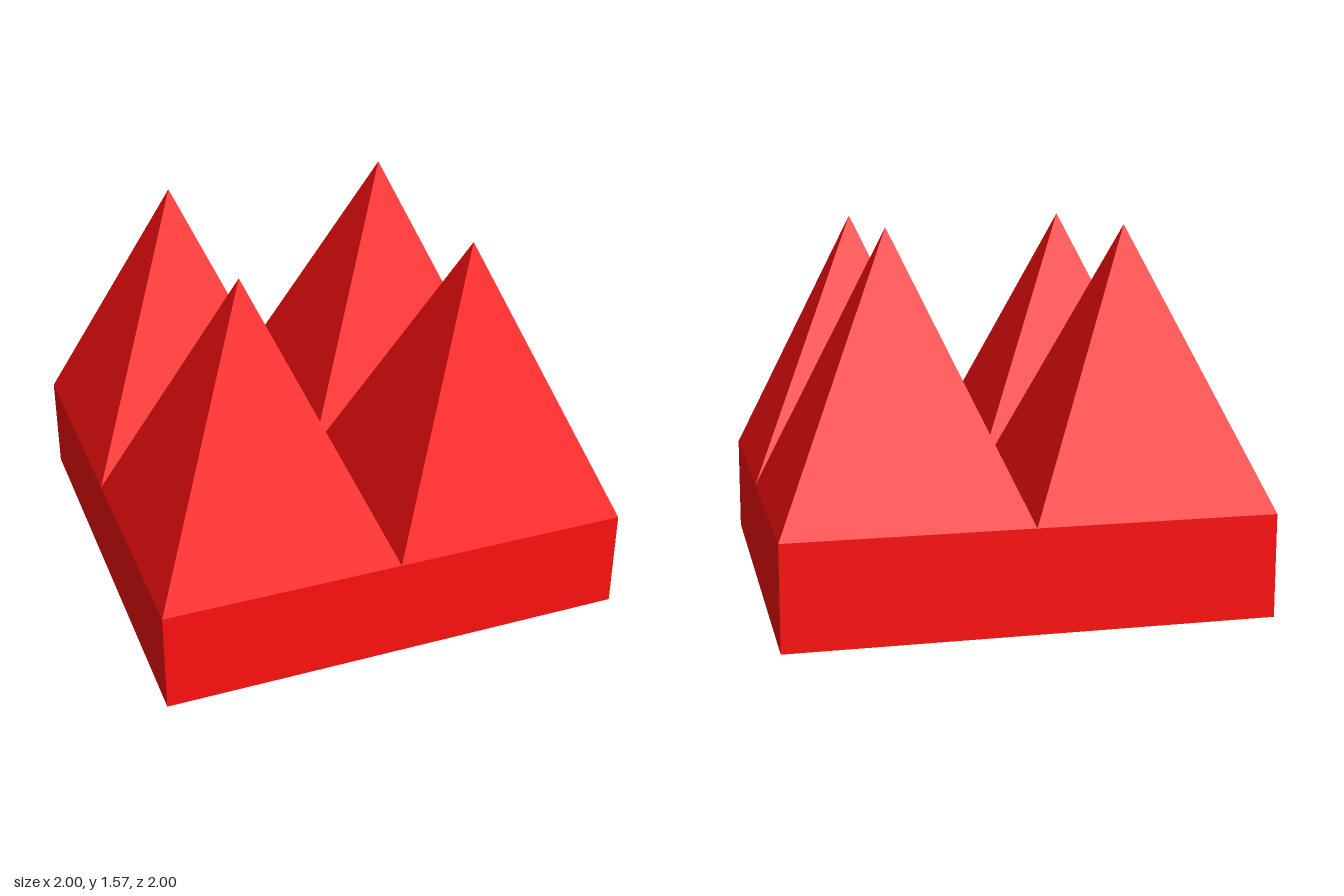
import * as THREE from 'three';

const BASE_HEIGHT = 0.43;
const PEAK_HEIGHT = 1.14;

export function createModel() {
  const group = new THREE.Group();
  group.name = 'spikedBlock';
  const red = new THREE.MeshStandardMaterial({ color: 0xff1010, flatShading: true });

  // Square slab
  const base = new THREE.Mesh(new THREE.BoxGeometry(2, BASE_HEIGHT, 2), red);
  base.name = 'base';
  base.position.y = BASE_HEIGHT / 2;
  group.add(base);

  // Four square pyramids, each covering a quarter of the slab
  const pyramid = new THREE.ConeGeometry(Math.SQRT1_2, PEAK_HEIGHT, 4, 1, true);
  pyramid.rotateY(Math.PI / 4);
  for (const [side, x] of [['Left', 0.5], ['Right', -0.5]]) {
    for (const [end, z] of [['front', 0.5], ['back', -0.5]]) {
      const peak = new THREE.Mesh(pyramid, red);
      peak.name = `${end}${side}Pyramid`;
      peak.position.set(x, BASE_HEIGHT + PEAK_HEIGHT / 2, z);
      group.add(peak);
    }
  }

  return group;
}
